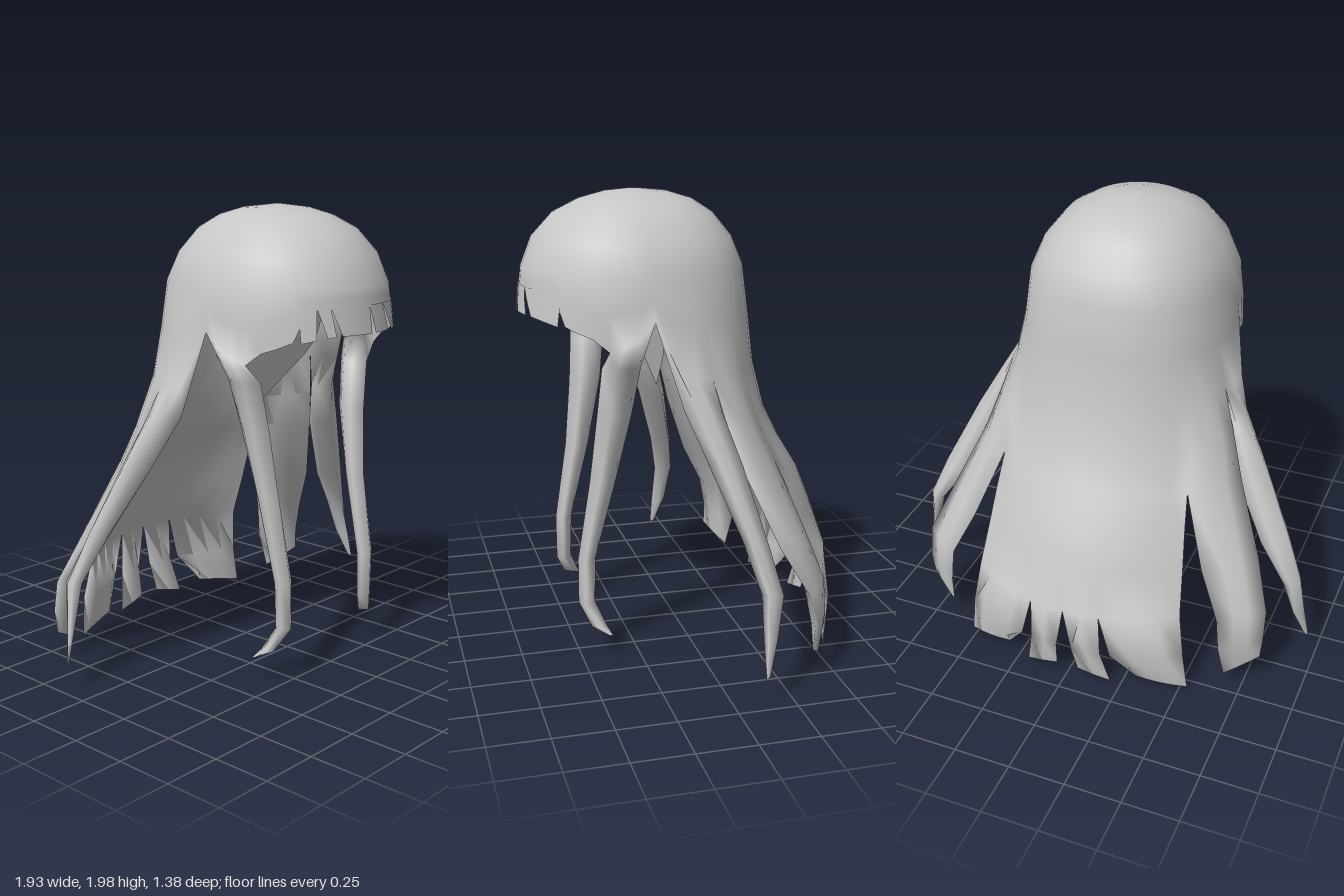
import * as THREE from 'three';

const CENTRE = 0.2, BACK_POWER = 2.35, STEP = Math.PI / 24;

// horizontal sections of the cap: y, half width, front z, back z
const SECTIONS = [
  [2.0, 0, 0.2, 0.17], [1.985, 0.13, 0.31, 0.03], [1.955, 0.22, 0.42, -0.07],
  [1.9, 0.31, 0.53, -0.155], [1.8, 0.39, 0.622, -0.235], [1.68, 0.442, 0.668, -0.283],
  [1.5, 0.465, 0.69, -0.305], [1.27, 0.523, 0.66, -0.325],
];

function section(y) {
  let i = 0;
  while (i < SECTIONS.length - 2 && SECTIONS[i + 1][0] > y) i++;
  const p = SECTIONS[i], q = SECTIONS[i + 1], t = (p[0] - y) / (p[0] - q[0]);
  return p.map((v, k) => v + (q[k] - v) * t);
}

// point on the cap; column 0 is the left side, 12 the back, 36 the front
function capPoint(col, y) {
  const [, w, front, back] = section(y);
  const c = Math.cos(col * STEP), s = Math.sin(col * STEP);
  if (s < 0) return [Math.min(w, 0.465) * c, y, CENTRE - (front - CENTRE) * s];
  const round = (v) => Math.sign(v) * Math.pow(Math.abs(v), 2 / BACK_POWER);
  return [w * round(c), y, CENTRE - (CENTRE - back) * round(s)];
}

// height of the lower edge of the cap
function hem(col) {
  const c = ((col % 48) + 48) % 48;
  if (c === 0 || c === 24) return 1.5;
  if (c < 24) return 1.27;
  const k = Math.abs(c - 36);
  if (k <= 5) return 1.6;
  return [1.475, 1.45, 1.43, 1.38, 1.4, 1.43][k - 6];
}

const range = (from, to) => Array.from({ length: to - from + 1 }, (_, i) => from + i);
const hemRow = (from, to) => range(from, to).map((c) => capPoint(c, hem(c)));
const mirror = (rows) => rows.map((r) => r.map(([x, y, z]) => [-x, y, z]).reverse());

// row of n points from a to b, arched by the bulge
const arc = (n, a, b, bulge) => range(0, n - 1).map((i) => {
  const t = i / (n - 1);
  return a.map((v, j) => v + (b[j] - v) * t + bulge[j] * 4 * t * (1 - t));
});

// hollow strand hanging from a top row; each row has two edges, an outer and an inner bulge
const strand = (top, rows) => [
  [...top, ...[...top].reverse()],
  ...rows.map(([a, b, outer, inner = outer.map((v) => -v)]) => [
    ...arc(top.length, a, b, outer), ...arc(top.length, a, b, inner).reverse(),
  ]),
];

export function createModel() {
  const group = new THREE.Group();
  group.name = 'longHair';
  const hair = new THREE.MeshStandardMaterial({ color: 0xc6c6c6, side: THREE.DoubleSide });
  hair.name = 'hair grey';

  // neighbouring parts share vertices, so shading runs smoothly across them
  const positions = [], lookup = new Map(), parts = [];
  const vertex = (p) => {
    const key = p.map((v) => Math.round(v * 5000)).join();
    if (!lookup.has(key)) {
      lookup.set(key, positions.length / 3);
      positions.push(...p);
    }
    return lookup.get(key);
  };
  function loft(name, rows) {
    const ids = rows.map((r) => r.map(vertex)), index = [];
    const face = (a, b, c) => { if (a !== b && b !== c && a !== c) index.push(a, b, c); };
    for (let r = 0; r < ids.length - 1; r++) {
      for (let c = 0; c < ids[r].length - 1; c++) {
        face(ids[r][c], ids[r + 1][c], ids[r + 1][c + 1]);
        face(ids[r][c], ids[r + 1][c + 1], ids[r][c + 1]);
      }
    }
    parts.push({ name, index });
  }
  function pair(name, rows) {
    loft(name + 'Left', rows);
    loft(name + 'Right', mirror(rows));
  }

  // cap
  const capRows = SECTIONS.slice(0, 6).map(([y]) => range(0, 48).map((c) => capPoint(c, y)));
  for (const t of [0.5, 1]) {
    capRows.push(range(0, 48).map((c) => capPoint(c, 1.68 + (hem(c) - 1.68) * t)));
  }
  loft('cap', capRows);

  // front locks
  pair('frontLock', strand(hemRow(-3, 0), [
    [[0.355, 1.3, 0.4], [0.375, 1.3, 0.24], [0.045, 0, 0]],
    [[0.32, 1.1, 0.415], [0.33, 1.1, 0.268], [0.048, 0, 0]],
    [[0.29, 0.8, 0.445], [0.3, 0.8, 0.335], [0.044, 0, 0]],
    [[0.28, 0.45, 0.5], [0.285, 0.45, 0.425], [0.044, 0, 0]],
    [[0.275, 0.25, 0.5], [0.285, 0.25, 0.43], [0.04, 0, 0]],
    [[0.335, 0.155, 0.455], [0.335, 0.155, 0.39], [0.022, 0, 0]],
    [[0.38, 0.125, 0.39], [0.37, 0.12, 0.37], [0.003, 0, 0]],
  ]));

  // outer side strands
  pair('sideStrand', strand(hemRow(0, 3), [
    [[0.5, 1.14, 0.09], [0.55, 1.13, -0.06], [0.055, 0.01, 0.01]],
    [[0.59, 0.95, 0.02], [0.64, 0.93, -0.12], [0.07, 0.02, 0.02]],
    [[0.76, 0.66, -0.08], [0.79, 0.62, -0.19], [0.06, 0.02, 0.02]],
    [[0.875, 0.46, -0.13], [0.885, 0.45, -0.22], [0.035, 0.01, 0.015]],
    [[0.93, 0.26, -0.125], [0.91, 0.28, -0.19], [0.02, 0, 0.01]],
    [[0.965, 0.13, -0.125], [0.955, 0.14, -0.145], [0.003, 0, 0.003]],
  ]));

  // rear side strands
  pair('rearStrand', strand(hemRow(3, 6), [
    [[0.555, 1.07, -0.08], [0.42, 1.05, -0.25], [0.02, 0, -0.015], [-0.005, 0, 0.005]],
    [[0.61, 0.9, -0.13], [0.43, 0.9, -0.32], [0.025, 0, -0.02], [-0.015, 0, 0.015]],
    [[0.74, 0.6, -0.25], [0.54, 0.6, -0.43], [0.02, 0, -0.02], [-0.03, 0, 0.03]],
    [[0.82, 0.4, -0.36], [0.635, 0.4, -0.49], [0.005, 0, -0.005], [-0.035, 0, 0.04]],
    [[0.82, 0.26, -0.385], [0.65, 0.24, -0.495], [0.003, 0, -0.003], [-0.025, 0, 0.03]],
    [[0.81, 0.16, -0.38], [0.67, 0.08, -0.46], [0.002, 0, -0.002], [-0.004, 0, 0.004]],
  ]));

  // back panel: y, half width, middle z, edge z
  const panelRows = [
    [1.05, 0.42, -0.388, -0.25], [0.9, 0.43, -0.462, -0.32], [0.75, 0.445, -0.555, -0.385],
    [0.6, 0.46, -0.615, -0.44], [0.4, 0.48, -0.685, -0.52],
  ].map(([y, w, zm, ze]) => range(0, 12).map((i) => {
    const u = 1 - i / 6;
    return [u * w, y, zm + (ze - zm) * u * u];
  }));
  loft('backPanel', [hemRow(6, 18), ...panelRows]);

  // strands at the lower end of the back panel
  const end = panelRows[4];
  pair('outerBackStrand', strand(end.slice(0, 5), [
    [[0.51, 0.2, -0.55], [0.21, 0.2, -0.665], [0.01, 0, -0.015], [-0.01, 0, 0.03]],
    [[0.53, 0.02, -0.54], [0.31, 0.06, -0.6], [0, 0, -0.01], [0, 0, -0.003]],
  ]));
  pair('innerBackStrand', strand(end.slice(4, 7), [
    [[0.165, 0.2, -0.668], [0.035, 0.2, -0.685], [0, 0, -0.004], [0, 0, 0.025]],
    [[0.2, 0.025, -0.635], [0.05, 0.06, -0.65], [0, 0, -0.004], [0, 0, 0.003]],
  ]));

  // fringe: slits given as top x, then the bottom x on either side
  const slits = [[-0.31, -0.31, -0.31], [-0.25, -0.26, -0.22], [-0.2, -0.185, -0.16],
    [-0.01, -0.005, 0.02], [0.09, 0.13, 0.17], [0.31, 0.31, 0.31]];
  const fringePoint = (x, y) => {
    const [, w, front] = section(y);
    return [x, y, CENTRE + (front - CENTRE) * Math.sqrt(1 - (x / w) ** 2) + 0.003];
  };
  for (let i = 0; i < slits.length - 1; i++) {
    const top = [slits[i][0], slits[i + 1][0]], low = [slits[i][2], slits[i + 1][1]];
    loft('fringe' + (i + 1), [0, 0.5, 1].map((t) => range(0, 4).map((c) => {
      const a = top[0] + (low[0] - top[0]) * t, b = top[1] + (low[1] - top[1]) * t;
      const x = a + (b - a) * c / 4;
      const bottom = 1.495 - 0.4 * Math.max(0, Math.abs(x) - 0.16) ** 1.5;
      return fringePoint(x, 1.61 + (bottom - 1.61) * t);
    })));
  }

  // one shared set of smooth normals
  const whole = new THREE.BufferGeometry();
  whole.setAttribute('position', new THREE.Float32BufferAttribute(positions, 3));
  whole.setIndex(parts.flatMap((p) => p.index));
  whole.computeVertexNormals();
  for (const { name, index } of parts) {
    const geometry = new THREE.BufferGeometry();
    geometry.setAttribute('position', whole.attributes.position);
    geometry.setAttribute('normal', whole.attributes.normal);
    geometry.setIndex(index);
    const mesh = new THREE.Mesh(geometry.toNonIndexed(), hair);
    mesh.name = name;
    group.add(mesh);
  }

  // pointed lining inside the cap
  const shape = new THREE.Shape([[0, 1.13], [0.26, 1.31], [0.33, 1.38], [0.37, 1.62],
    [-0.37, 1.62], [-0.33, 1.38], [-0.26, 1.31]].map(([x, y]) => new THREE.Vector2(x, y)));
  const plate = new THREE.ShapeGeometry(shape);
  const pos = plate.attributes.position;
  for (let i = 0; i < pos.count; i++) pos.setZ(i, 0.08 + (pos.getY(i) - 1.13) * 0.2);
  plate.computeVertexNormals();
  const lining = new THREE.Mesh(plate, hair);
  lining.name = 'lining';
  group.add(lining);

  return group;
}
